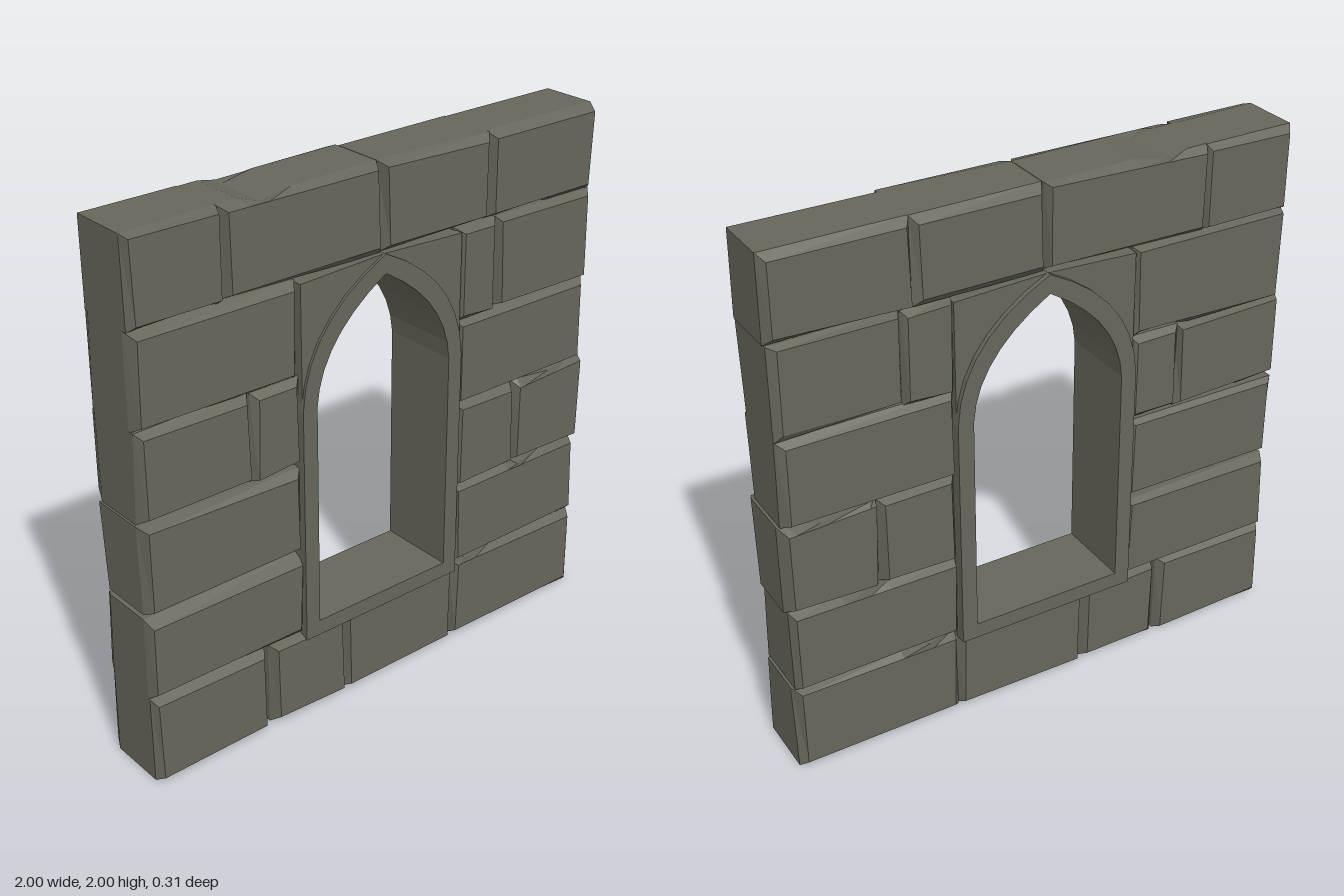
import * as THREE from 'three';

const stone = new THREE.MeshStandardMaterial({ color: 0x66665a, flatShading: true });
stone.name = 'grey stone';

// small seeded random, for the rough cut of the stones
let seed = 7;
function rand(min, max) {
  seed = (seed * 16807) % 2147483647;
  return min + (max - min) * (seed / 2147483647);
}

// one rough block: bevelled front and back, optional chips on the bottom or top edge
// a chip is [x start, x deepest, x end, depth]
function block(x0, x1, y0, y1, { bottomChip, topChip } = {}) {
  const outline = [[x0, y0]];
  if (bottomChip) {
    const [a, m, b, d] = bottomChip;
    outline.push([a, y0], [m, y0 + d], [b, y0]);
  }
  outline.push([x1, y0], [x1, y1]);
  if (topChip) {
    const [a, m, b, d] = topChip;
    outline.push([b, y1], [m, y1 - d], [a, y1]);
  }
  outline.push([x0, y1]);

  // bevelled face: the outline squeezed into a slightly crooked quad
  const bevelled = (z) => {
    const q = [
      [x0 + rand(0.012, 0.025), y0 + rand(0.014, 0.032)],
      [x1 - rand(0.014, 0.032), y0 + rand(0.014, 0.032)],
      [x1 - rand(0.014, 0.032), y1 - rand(0.01, 0.03)],
      [x0 + rand(0.012, 0.025), y1 - rand(0.01, 0.03)],
    ];
    return outline.map(([x, y]) => {
      const u = (x - x0) / (x1 - x0);
      const v = (y - y0) / (y1 - y0) > 0.5 ? 1 : 0;
      const mix = (k) => (1 - v) * ((1 - u) * q[0][k] + u * q[1][k]) + v * ((1 - u) * q[3][k] + u * q[2][k]);
      return [mix(0), mix(1), z];
    });
  };
  const full = (side) => outline.map(([x, y]) => [x, y, side * rand(0.09, 0.118)]);
  const rings = [bevelled(-0.138), full(-1), full(1), bevelled(0.144)];

  const n = outline.length;
  const pos = [];
  const tri = (a, b, c) => pos.push(...a, ...b, ...c);
  for (let k = 0; k < 3; k++) {
    for (let i = 0; i < n; i++) {
      const j = (i + 1) % n;
      tri(rings[k][i], rings[k][j], rings[k + 1][j]);
      tri(rings[k][i], rings[k + 1][j], rings[k + 1][i]);
    }
  }
  const flat = outline.map(([x, y]) => new THREE.Vector2(x, y));
  for (const [a, b, c] of THREE.ShapeUtils.triangulateShape(flat, [])) {
    tri(rings[3][a], rings[3][b], rings[3][c]);
    tri(rings[0][a], rings[0][c], rings[0][b]);
  }
  const geo = new THREE.BufferGeometry();
  geo.setAttribute('position', new THREE.Float32BufferAttribute(pos, 3));
  geo.computeVertexNormals();
  return geo;
}

// pointed arch outline: half width, bottom, spring line, apex and curve control point
function archPath(path, w, bottom, spring, apex, cx, cy) {
  path.moveTo(-w, bottom);
  path.lineTo(w, bottom);
  path.lineTo(w, spring);
  path.quadraticCurveTo(cx, cy, 0, apex);
  path.quadraticCurveTo(-cx, cy, -w, spring);
  path.lineTo(-w, bottom);
  return path;
}

function extrude(shape, z0, z1) {
  const geo = new THREE.ExtrudeGeometry(shape, { depth: z1 - z0, bevelEnabled: false, curveSegments: 7 });
  return geo.translate(-0.005, 0, z0);
}

export function createModel() {
  const model = new THREE.Group();
  model.name = 'windowWall';
  const add = (geo, name, parent = model) => {
    const mesh = new THREE.Mesh(geo, stone);
    mesh.name = name;
    parent.add(mesh);
  };

  // courses of stone from the ground up
  const courses = [
    [
      [-1, -0.515, 0, 0.338],
      [-0.5, -0.17, 0, 0.33],
      [-0.175, 0.358, 0, 0.335],
      [0.355, 1, 0, 0.34, { topChip: [0.37, 0.45, 0.58, 0.032] }],
    ],
    [
      [-1, -0.355, 0.335, 0.655],
      [0.35, 0.99, 0.338, 0.667, { topChip: [0.62, 0.7, 0.8, 0.03] }],
    ],
    [
      [-1, -0.355, 0.675, 1.003],
      [0.35, 0.648, 0.663, 1.01],
      [0.643, 1, 0.665, 1.012, { topChip: [0.67, 0.85, 0.97, 0.028] }],
    ],
    [
      [-1, -0.552, 1.012, 1.345, { bottomChip: [-0.85, -0.69, -0.57, 0.03] }],
      [-0.558, -0.355, 1.012, 1.345],
      [0.345, 0.99, 1.01, 1.342],
    ],
    [
      [-1, -0.36, 1.34, 1.685, { bottomChip: [-0.6, -0.42, -0.37, 0.03] }],
      [0.34, 0.53, 1.335, 1.685],
      [0.525, 0.99, 1.34, 1.685],
    ],
    [
      [-1, -0.64, 1.685, 2, { bottomChip: [-0.94, -0.85, -0.66, 0.03] }],
      [-0.645, -0.005, 1.685, 2, { topChip: [-0.56, -0.48, -0.36, 0.025] }],
      [-0.003, 0.485, 1.687, 2],
      [0.48, 0.995, 1.685, 2, { bottomChip: [0.54, 0.62, 0.78, 0.03] }],
    ],
  ];
  courses.forEach((blocks, i) => {
    const course = new THREE.Group();
    course.name = `stoneCourse${i + 1}`;
    blocks.forEach((b, j) => add(block(...b), `stoneBlock${j + 1}`, course));
    model.add(course);
  });

  // stones filling the corners above the arch
  for (const s of [-1, 1]) {
    const corner = new THREE.Shape();
    corner.moveTo(s * 0.352, 1.24);
    corner.lineTo(s * 0.352, 1.675);
    corner.lineTo(0, 1.69);
    corner.lineTo(0, 1.65);
    corner.quadraticCurveTo(s * 0.3, 1.5, s * 0.33, 1.24);
    add(extrude(corner, -0.136, 0.14), s > 0 ? 'leftArchCorner' : 'rightArchCorner');
  }

  // window surround standing slightly proud of the wall
  const surround = archPath(new THREE.Shape(), 0.356, 0.312, 1.22, 1.692, 0.34, 1.53);
  surround.holes.push(archPath(new THREE.Path(), 0.296, 0.372, 1.22, 1.622, 0.28, 1.46));
  add(extrude(surround, -0.155, 0.15), 'windowSurround');

  return model;
}
